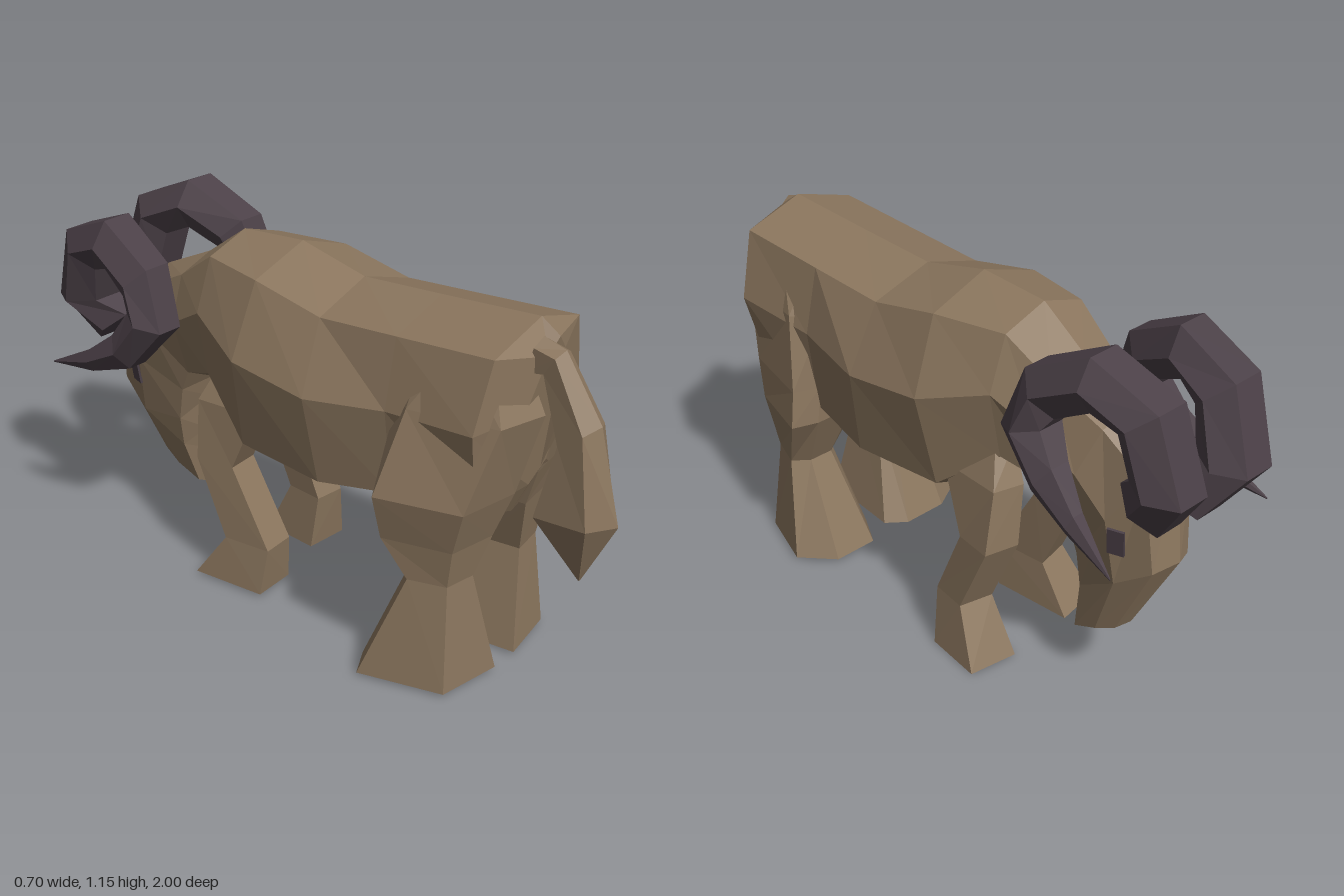
import * as THREE from 'three';

const hide = new THREE.MeshStandardMaterial({ color: 0x8b765e });
hide.name = 'brown hide';
const horn = new THREE.MeshStandardMaterial({ color: 0x4b4047 });
horn.name = 'dark horn';

// Faceted skin over a row of equal-length rings, closed at both ends
function loft(name, rings, material) {
  const tris = [];
  const n = rings[0].length;
  for (let i = 0; i < rings.length - 1; i++) {
    for (let k = 0; k < n; k++) {
      const a = rings[i][k], b = rings[i][(k + 1) % n];
      const c = rings[i + 1][(k + 1) % n], d = rings[i + 1][k];
      tris.push([a, b, c], [a, c, d]);
    }
  }
  const cap = (ring, flip) => {
    const mid = ring.reduce((s, p) => s.add(p), new THREE.Vector3()).divideScalar(n);
    ring.forEach((p, k) => {
      const q = ring[(k + 1) % n];
      tris.push(flip ? [mid, q, p] : [mid, p, q]);
    });
  };
  cap(rings[0], true);
  cap(rings[rings.length - 1], false);
  // turn the skin outward whichever way the rings run
  let volume = 0;
  for (const [a, b, c] of tris) volume += a.dot(b.clone().cross(c));
  if (volume < 0) tris.forEach((t) => t.reverse());
  const geometry = new THREE.BufferGeometry().setFromPoints(tris.flat());
  geometry.computeVertexNormals();
  const mesh = new THREE.Mesh(geometry, material);
  mesh.name = name;
  return mesh;
}

const V = (x, y, z) => new THREE.Vector3(x, y, z);
const CX = -0.015; // the animal stands slightly off centre

// Eight-sided body ring between a back point and a belly point
function bodyRing([tz, ty, bz, by, upper, middle, lower, shift = 0]) {
  const at = (t, x) => V(CX + shift + x, ty + (by - ty) * t, tz + (bz - tz) * t);
  return [at(0, 0), at(0.1, upper), at(0.44, middle), at(0.88, lower),
    at(1, 0), at(0.88, -lower), at(0.44, -middle), at(0.1, -upper)];
}

// Six-sided hind leg ring; the widest corner lies a fraction of the way back
function hindRing([y, front, back, inner, outer, corner]) {
  const w = outer - inner, d = back - front;
  const side = front + d * corner;
  return [V(inner + w * 0.1, y, back), V(outer - w * 0.24, y, back - d * 0.1), V(outer, y, side),
    V(outer - w * 0.3, y, front), V(inner + w * 0.2, y, front), V(inner, y, side)];
}

// Four-sided front leg ring, a little narrower at the back
function frontRing([y, front, back, inner, outer]) {
  const w = outer - inner;
  return [V(inner, y, back - 0.01), V(outer - w * 0.15, y, back),
    V(outer, y, front + 0.025), V(inner + w * 0.1, y, front)];
}

// Curled horn: hexagon rings turned along a path of [x, y, z, half width, half depth]
function makeHorn(name, path) {
  const pts = path.map(([x, y, z]) => V(x, y, z));
  const rings = path.map(([, , , w, d], i) => {
    const next = pts[Math.min(i + 1, pts.length - 1)], prev = pts[Math.max(i - 1, 0)];
    const out = V(0, next.z - prev.z, prev.y - next.y).normalize();
    return Array.from({ length: 6 }, (_, k) => {
      const a = Math.PI / 6 + (k * Math.PI) / 3;
      return pts[i].clone().addScaledVector(out, (Math.cos(a) / 0.866) * d)
        .add(V(Math.sin(a) * w, 0, 0));
    });
  });
  return loft(name, rings, horn);
}

export function createModel() {
  const model = new THREE.Group();
  model.name = 'ram';

  // Rump, barrel, neck and lowered head
  const bodyRows = [
    [0.76, 1.06, 0.69, 0.60, 0.04, 0.10, 0.07],
    [0.70, 1.10, 0.64, 0.50, 0.20, 0.255, 0.19],
    [0.38, 1.08, 0.38, 0.48, 0.20, 0.245, 0.21],
    [0.11, 1.065, 0.15, 0.45, 0.20, 0.295, 0.25],
    [-0.12, 1.12, -0.17, 0.455, 0.20, 0.29, 0.23],
    [-0.35, 1.105, -0.36, 0.63, 0.15, 0.21, 0.17],
    [-0.50, 1.00, -0.51, 0.575, 0.125, 0.17, 0.11],
    [-0.68, 0.92, -0.53, 0.50, 0.105, 0.15, 0.10],
    [-0.84, 0.82, -0.545, 0.38, 0.095, 0.13, 0.085],
    [-0.88, 0.52, -0.555, 0.30, 0.075, 0.10, 0.07, 0.01],
    [-0.75, 0.26, -0.56, 0.165, 0.045, 0.055, 0.045, 0.035],
  ];
  model.add(loft('bodyAndHead', bodyRows.map(bodyRing), hide));

  // Hind legs: height, front z, back z, inner x, outer x, widest corner
  model.add(loft('hindLegLeft', [
    [0.01, 0.31, 0.65, -0.005, 0.295, 0.3],
    [0.32, 0.45, 0.61, 0.07, 0.235, 0.25],
    [0.50, 0.375, 0.65, 0.015, 0.29, 0.1],
    [0.62, 0.375, 0.69, 0.005, 0.275, 0.1],
    [0.85, 0.38, 0.76, 0.005, 0.235, 0.2],
    [1.03, 0.45, 0.68, 0.03, 0.165, 0.5],
  ].map(hindRing), hide));
  model.add(loft('hindLegRight', [
    [0.01, 0.31, 0.65, -0.04, -0.35, 0.15],
    [0.34, 0.45, 0.61, -0.13, -0.28, 0.2],
    [0.46, 0.385, 0.64, -0.08, -0.31, 0.1],
    [0.60, 0.375, 0.69, -0.05, -0.345, 0.1],
    [0.85, 0.38, 0.76, -0.04, -0.267, 0.2],
    [1.03, 0.45, 0.68, -0.06, -0.195, 0.5],
  ].map(hindRing), hide));

  // Front legs, flush with the shoulder; the left foot is set a little further forward
  model.add(loft('frontLegLeft', [
    [0, -0.41, -0.20, 0.11, 0.285],
    [0.18, -0.32, -0.18, 0.125, 0.245],
    [0.405, -0.415, -0.27, 0.12, 0.24],
    [0.60, -0.41, -0.17, 0.10, 0.205],
    [0.72, -0.36, -0.17, 0.09, 0.15],
  ].map(frontRing), hide));
  model.add(loft('frontLegRight', [
    [0.01, -0.405, -0.13, -0.08, -0.25],
    [0.16, -0.30, -0.115, -0.09, -0.22],
    [0.405, -0.41, -0.255, -0.095, -0.22],
    [0.60, -0.41, -0.17, -0.08, -0.205],
    [0.72, -0.36, -0.17, -0.07, -0.15],
  ].map(frontRing), hide));

  // Tail: outer y z, inner y z, half width; ridge, two flanks and a flat inside
  const tail = [
    [1.07, 0.74, 0.97, 0.71, 0.035],
    [1.05, 0.81, 0.98, 0.765, 0.037],
    [0.87, 0.93, 0.80, 0.83, 0.055],
    [0.60, 1.00, 0.58, 0.78, 0.073],
    [0.40, 0.90, 0.40, 0.895, 0.003],
  ].map(([oy, oz, iy, iz, w]) => {
    const x = -0.062, y = iy + (oy - iy) * 0.75, z = iz + (oz - iz) * 0.75;
    return [V(x, oy, oz), V(x + w, y, z), V(x + w * 0.9, iy, iz),
      V(x - w * 0.9, iy, iz), V(x - w, y, z)];
  });
  model.add(loft('tail', tail, hide));

  // Horns share one curl; the right one sits lower and further out
  const curl = [
    [0.08, 0.725, -0.83, 0.095, 0.085],
    [0.125, 0.83, -0.915, 0.105, 0.085],
    [0.135, 1.015, -0.855, 0.105, 0.08],
    [0.155, 1.075, -0.71, 0.10, 0.078],
    [0.18, 1.00, -0.56, 0.09, 0.076],
    [0.205, 0.89, -0.517, 0.085, 0.072],
    [0.235, 0.78, -0.615, 0.065, 0.058],
    [0.285, 0.72, -0.75, 0.036, 0.033],
    [0.35, 0.672, -0.93, 0.002, 0.002],
  ];
  const rightX = [-0.09, -0.15, -0.175, -0.205, -0.235, -0.25, -0.27, -0.295, -0.31];
  model.add(makeHorn('hornLeft', curl));
  model.add(makeHorn('hornRight', curl.map(([, y, z, w, d], i) =>
    [rightX[i], y - 0.025 - 0.005 * i, z, w, d])));

  // Eyes: thin plates lying on the cheeks
  for (const s of [1, -1]) {
    const eye = new THREE.Mesh(new THREE.BoxGeometry(0.05, 0.085, 0.008), horn);
    eye.name = s > 0 ? 'eyeLeft' : 'eyeRight';
    eye.position.set(CX + 0.004 + s * 0.117, 0.57, -0.745);
    eye.lookAt(eye.position.clone().add(V(s, -0.15, -0.33)));
    model.add(eye);
  }
  return model;
}
